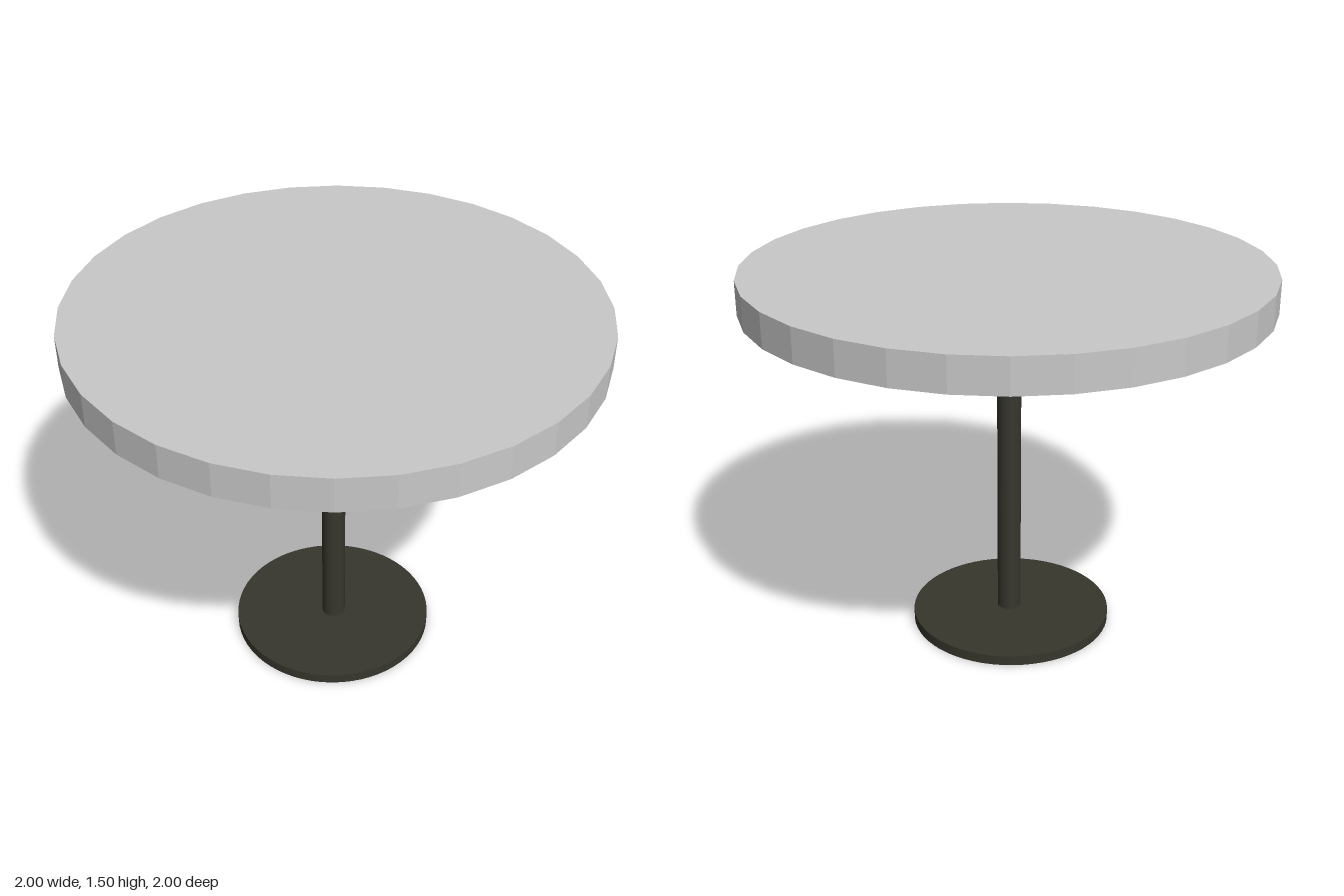
import * as THREE from 'three';

const material = (name, color, flatShading = false) => {
  const m = new THREE.MeshStandardMaterial({ color, flatShading });
  m.name = name;
  return m;
};

export function createModel() {
  const model = new THREE.Group();
  model.name = 'pedestalTable';

  const lightGrey = material('lightGrey', 0xc9c9c9, true);
  const darkMetal = material('darkMetal', 0x37362d);

  // Upright disc or post spanning two heights
  const addCylinder = (name, radius, bottom, top, sides, mat, x = 0, z = 0) => {
    const mesh = new THREE.Mesh(new THREE.CylinderGeometry(radius, radius, top - bottom, sides), mat);
    mesh.name = name;
    mesh.position.set(x, (bottom + top) / 2, z);
    model.add(mesh);
  };

  // Faceted round top
  addCylinder('tableTop', 1, 1.367, 1.498, 32, lightGrey);
  // Slim post and round foot, set slightly off the centre of the top
  addCylinder('post', 0.047, 0.04, 1.367, 32, darkMetal, 0.01, 0.024);
  addCylinder('basePlate', 0.4, 0, 0.04, 64, darkMetal, 0, 0.021);

  return model;
}
